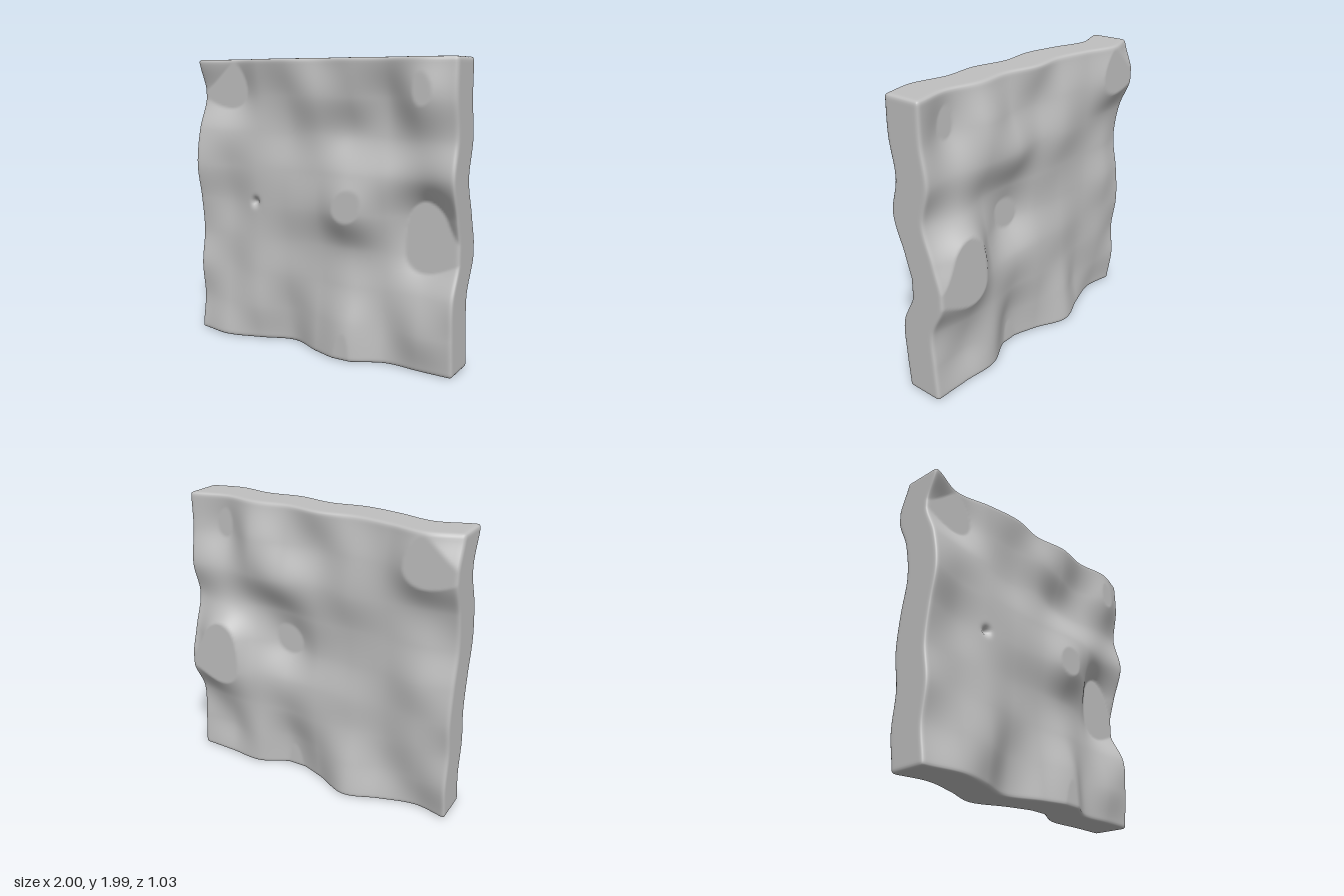
import * as THREE from 'three';
import { mergeVertices } from 'three/addons/utils/BufferGeometryUtils.js';

// Relief heights on a coarse grid: rows from bottom to top, columns left to right
const RELIEF = [
  [0.04, 0.08, 0.02, -0.055, 0.045, 0.1, 0.0, 0.01, 0.015],
  [0.01, 0.04, 0.05, -0.03, 0.025, 0.085, -0.005, 0.045, 0.03],
  [0.03, 0.01, 0.04, 0.005, 0.0, 0.03, -0.005, 0.0, 0.035],
  [0.0, 0.0, 0.025, 0.005, 0.0, 0.01, -0.015, -0.1, -0.062],
  [0.02, -0.02, 0.02, 0.03, 0.045, 0.11, 0.03, -0.11, -0.01],
  [0.055, 0.01, 0.02, 0.02, 0.03, 0.065, 0.065, 0.02, 0.06],
  [0.02, 0.01, 0.0, -0.02, 0.01, -0.03, -0.01, 0.03, 0.01],
  [-0.06, -0.09, -0.015, 0.0, 0.05, 0.03, -0.01, 0.1, 0.04],
  [0.01, -0.055, 0.005, 0.045, 0.02, 0.065, 0.045, 0.085, 0.04],
];
const WIDTH = 1.995, HEIGHT = 1.99, DEPTH = 0.265, BEVEL = 0.022;
const LOWEST = -0.062, HIGHEST = 0.1;

// Smooth (Catmull-Rom) sample through evenly spaced values, t in 0..8
function sample(values, t) {
  const i = Math.min(7, Math.max(0, Math.floor(t)));
  const f = Math.min(1, Math.max(0, t - i));
  const at = (k) => values[Math.min(8, Math.max(0, k))];
  const [a, b, c, d] = [at(i - 1), at(i), at(i + 1), at(i + 2)];
  return b + 0.5 * f * (c - a + f * (2 * a - 5 * b + 4 * c - d + f * (3 * (b - c) + d - a)));
}

// Relief height, cut flat at the highest and lowest places
function relief(x, y) {
  const column = (x + 1) * 4, row = (y / HEIGHT) * 8;
  const h = sample(RELIEF.map((r) => sample(r, column)), row) * 1.08;
  return THREE.MathUtils.clamp(h, LOWEST, HIGHEST);
}

export function createModel() {
  const group = new THREE.Group();
  group.name = 'wavySlab';
  const stone = new THREE.MeshStandardMaterial({ color: 0xc0c0c0 });
  stone.name = 'stone grey';

  // Finely divided block, welded so the shading is smooth
  let geometry = new THREE.BoxGeometry(WIDTH, HEIGHT, DEPTH, 150, 150, 18);
  geometry.deleteAttribute('uv');
  geometry.deleteAttribute('normal');
  geometry = mergeVertices(geometry, 1e-4);

  const half = new THREE.Vector3(WIDTH, HEIGHT, DEPTH).multiplyScalar(0.5).subScalar(BEVEL);
  const low = half.clone().negate();
  const position = geometry.attributes.position;
  const p = new THREE.Vector3(), inner = new THREE.Vector3();
  for (let i = 0; i < position.count; i++) {
    p.fromBufferAttribute(position, i);
    // Round the edges
    inner.copy(p).clamp(low, half);
    p.sub(inner).setLength(BEVEL).add(inner);
    p.y += HEIGHT / 2;
    // Bend front and back together along the relief
    const front = p.z > 0;
    p.z += relief(p.x - 0.15 * p.z, p.y);
    // Small dimple in the front
    if (front) {
      const r = Math.hypot(p.x + 0.5, p.y - 1.0) / 0.03;
      p.z -= 0.035 * Math.exp(-r * r);
    }
    position.setXYZ(i, p.x, p.y, p.z);
  }
  geometry.computeVertexNormals();

  const slab = new THREE.Mesh(geometry, stone);
  slab.name = 'slab';
  slab.rotation.y = THREE.MathUtils.degToRad(20);
  group.add(slab);
  return group;
}
